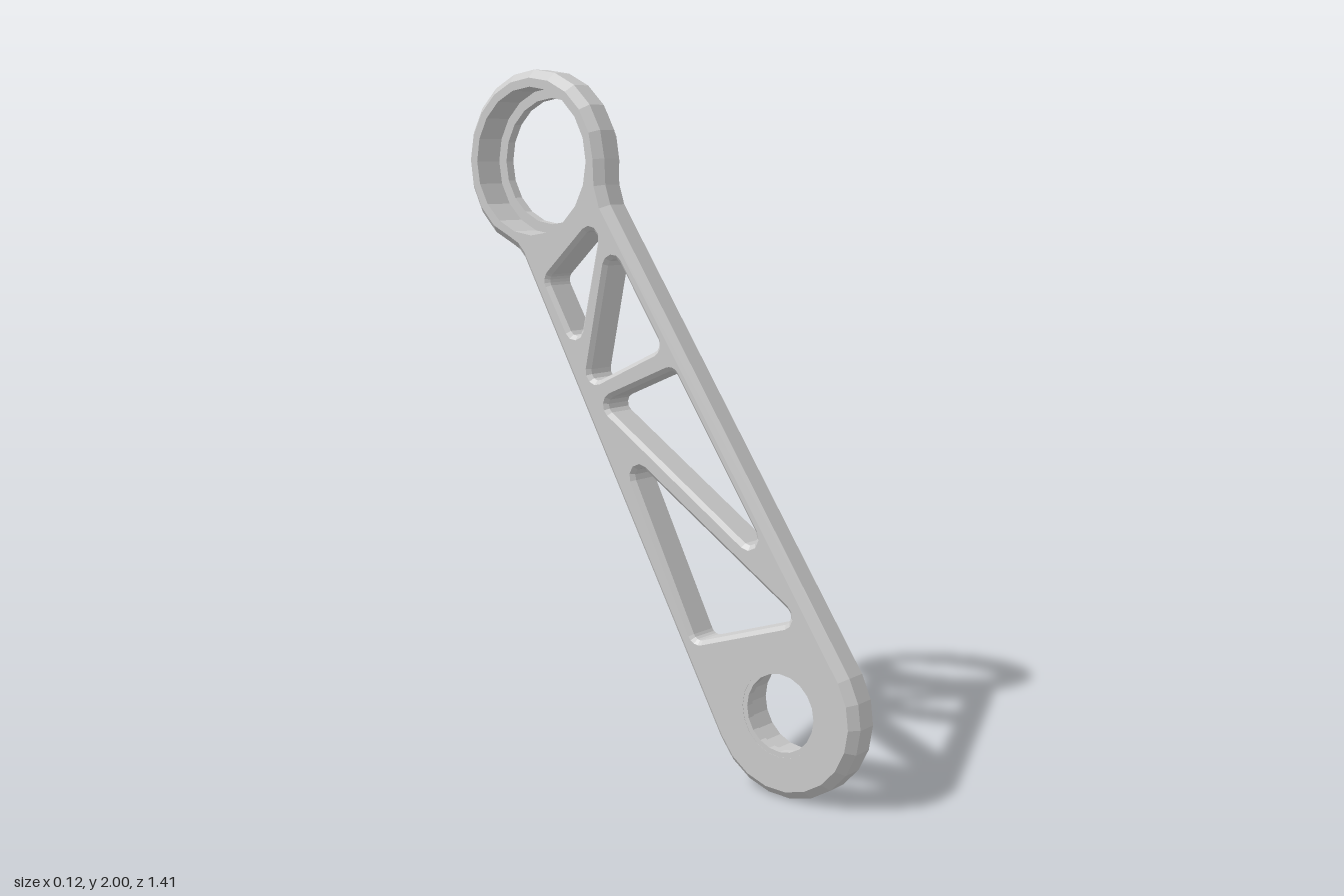
import * as THREE from 'three';
import { mergeGeometries } from 'three/addons/utils/BufferGeometryUtils.js';

const BACK = -0.065, FACE = 0.045; // thickness of the arm
const LOW = [-0.465, 0.246], TOP = [0.44, 1.735]; // centres of the two eyes
const V = (x, y) => new THREE.Vector2(x, y);

// Points along an arc, angles in degrees
function arc([cx, cy], r, from, to, n) {
  return Array.from({ length: n + 1 }, (_, i) => {
    const a = THREE.MathUtils.degToRad(from + (to - from) * i / n);
    return V(cx + r * Math.cos(a), cy + r * Math.sin(a));
  });
}
const circle = (c, r, n = 20) => arc(c, r, 360, 0, n).slice(0, n);

// Polygon with its corners rounded to radius r
function rounded(corners, r, n = 4) {
  const pts = corners.map(c => V(...c)), out = [];
  pts.forEach((p, i) => {
    const a = pts.at(i - 1).clone().sub(p).normalize();
    const b = pts[(i + 1) % pts.length].clone().sub(p).normalize();
    const half = Math.acos(a.dot(b)) / 2;
    const mid = a.clone().add(b).normalize();
    const c = p.clone().addScaledVector(mid, r / Math.sin(half));
    const start = p.clone().addScaledVector(a, r / Math.tan(half)).sub(c);
    const turn = (Math.PI - 2 * half) * Math.sign(start.cross(mid.clone().negate()));
    for (let k = 0; k <= n; k++) {
      out.push(start.clone().rotateAround(V(0, 0), turn * k / n).add(c));
    }
  });
  return out;
}

// Move a loop towards its left-hand side by d
function inset(loop, d) {
  return loop.map((p, i) => {
    const a = p.clone().sub(loop.at(i - 1)).normalize();
    const b = loop[(i + 1) % loop.length].clone().sub(p).normalize();
    const m = V(-a.y - b.y, a.x + b.x).normalize();
    return p.clone().addScaledVector(m, d / Math.max(0.5, m.dot(V(-a.y, a.x))));
  });
}

// Wall around a loop, chamfered at both faces
function wall(loop, c) {
  const edge = inset(loop, c);
  const rings = c ? [[edge, BACK], [loop, BACK + c], [loop, FACE - c], [edge, FACE]]
    : [[loop, BACK], [loop, FACE]];
  const pos = [];
  for (let k = 0; k + 1 < rings.length; k++) {
    const [lo, z0] = rings[k], [hi, z1] = rings[k + 1];
    loop.forEach((_, i) => {
      const j = (i + 1) % loop.length;
      const A = [lo[i].x, lo[i].y, z0], B = [lo[j].x, lo[j].y, z0];
      const C = [hi[j].x, hi[j].y, z1], D = [hi[i].x, hi[i].y, z1];
      pos.push(...A, ...B, ...C, ...A, ...C, ...D);
    });
  }
  const g = new THREE.BufferGeometry();
  g.setAttribute('position', new THREE.Float32BufferAttribute(pos, 3));
  return g;
}

// Plate made of two flat faces and chamfered walls
function plate(loops) {
  const [outer, ...holes] = loops.map(([loop, c]) => inset(loop, c));
  const shape = new THREE.Shape(outer);
  shape.holes = holes.map(h => new THREE.Path(h));
  const caps = [FACE, BACK].map(z => {
    const g = new THREE.ShapeGeometry(shape).toNonIndexed();
    g.deleteAttribute('uv');
    g.deleteAttribute('normal');
    if (z === BACK) g.rotateY(Math.PI).scale(-1, 1, 1); // mirrored below by winding
    g.translate(0, 0, z);
    return g;
  });
  // turn the back face's triangles outwards
  const p = caps[1].attributes.position;
  for (let i = 0; i < p.count; i += 3) {
    const b = [p.getX(i + 1), p.getY(i + 1), p.getZ(i + 1)];
    p.setXYZ(i + 1, p.getX(i + 2), p.getY(i + 2), p.getZ(i + 2));
    p.setXYZ(i + 2, ...b);
  }
  const g = mergeGeometries([...caps, ...loops.map(([loop, c]) => wall(loop, c))]);
  g.computeVertexNormals();
  return g;
}

// Square-section ring lying in the plate
function ring(c, inner, outer, z0, z1) {
  const profile = [[inner, z0], [outer, z0], [outer, z1], [inner, z1], [inner, z0]];
  return new THREE.LatheGeometry(profile.map(p => V(...p)), 20)
    .rotateX(Math.PI / 2).translate(c[0], c[1], 0);
}

export function createModel() {
  const group = new THREE.Group();
  group.name = 'linkArm';
  const material = new THREE.MeshStandardMaterial({ color: 0xcccccc, flatShading: true });
  const add = (name, geometry) => {
    const mesh = new THREE.Mesh(geometry.rotateY(Math.PI / 2), material);
    mesh.name = name;
    group.add(mesh);
  };

  // Outline: small end, straight side, large eye with filleted necks
  const outline = [
    ...arc(LOW, 0.245, 148, 332, 11),
    V(0.485, 1.455), V(0.505, 1.477), V(0.535, 1.493),
    ...arc(TOP, 0.265, -52, 178, 13),
    V(0.172, 1.67), V(0.154, 1.614),
  ];

  // Triangular lightening pockets, clockwise
  const pockets = [
    [[-0.525, 0.51], [0.095, 0.92], [-0.17, 0.395]],
    [[-0.445, 0.628], [-0.09, 1.163], [0.18, 1.047]],
    [[-0.048, 1.219], [0.14, 1.502], [0.228, 1.089]],
    [[0.17, 1.592], [0.382, 1.394], [0.263, 1.19]],
  ].map(t => [rounded(t, 0.026), 0.012]);

  add('arm', plate([
    [outline, 0.024],
    ...pockets,
    [circle(LOW, 0.125), 0],
    [circle(TOP, 0.215), 0],
  ]));

  // Raised collar whose inner lip closes the large bore
  add('largeEyeCollar', ring(TOP, 0.185, 0.236, 0.03, 0.06));
  // Lip at the far end of the small bore
  add('smallEyeLip', ring(LOW, 0.11, 0.128, -0.064, -0.04));
  return group;
}
